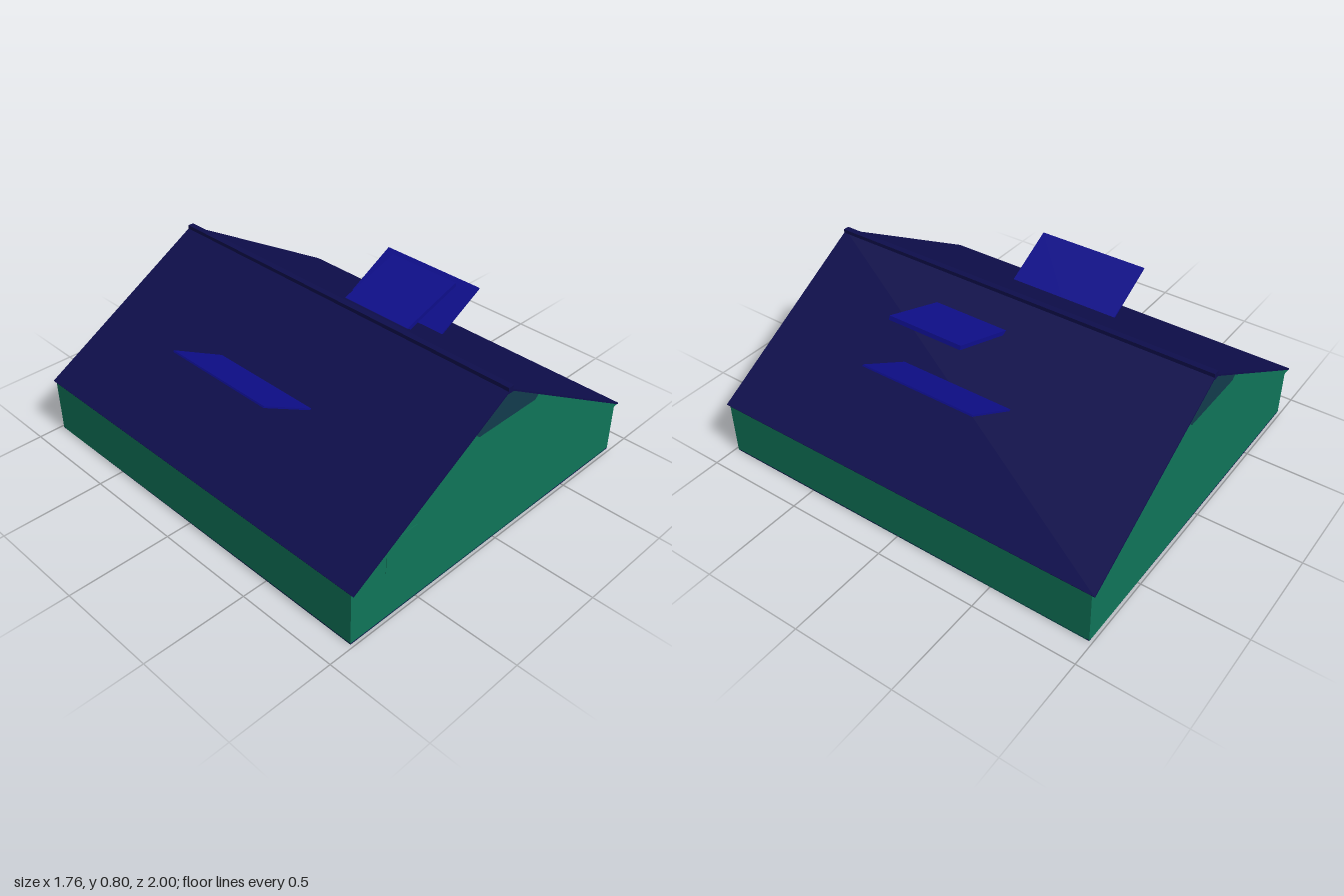
import * as THREE from 'three';

const mat = (name, color) => {
  const m = new THREE.MeshStandardMaterial({ color });
  m.name = name;
  return m;
};

export function createModel() {
  const green = mat('wall green', 0x0f7458);
  const navy = mat('roof navy', 0x0e0e4c);
  const blue = mat('panel blue', 0x0e0e8a);
  const teal = mat('dark teal', 0x123b4c);
  const model = new THREE.Group();

  const W = 0.875, EAVE = 0.265, PEAK = 0.775, END = 0.985;
  const slope = (PEAK - EAVE) / W;

  const add = (name, geometry, material, x = 0, y = 0, z = 0) => {
    const mesh = new THREE.Mesh(geometry, material);
    mesh.name = name;
    mesh.position.set(x, y, z);
    model.add(mesh);
    return mesh;
  };
  const box = (name, material, w, h, d, x, y, z) =>
    add(name, new THREE.BoxGeometry(w, h, d), material, x, y, z);
  const plate = (name, material, points, z0, z1) => {
    const shape = new THREE.Shape(points.map(([x, y]) => new THREE.Vector2(x, y)));
    return add(name, new THREE.ExtrudeGeometry(shape, { depth: z1 - z0, bevelEnabled: false }), material, 0, 0, z0);
  };
  // Flat sheet running between two points in the xy plane, spanning z0 to z1
  const sheet = (name, material, [xa, ya], [xb, yb], thick, z0, z1) => {
    const mesh = box(name, material, Math.hypot(xb - xa, yb - ya), thick, z1 - z0,
      (xa + xb) / 2, (ya + yb) / 2, (z0 + z1) / 2);
    mesh.rotation.z = Math.atan2(yb - ya, xb - xa);
    return mesh;
  };

  for (const s of [-1, 1]) {
    // Low side walls, with a thin sill at the ground
    box('sideWall', green, 0.01, EAVE, 2 * END, s * (W - 0.005), EAVE / 2, 0);
    box('sideSill', navy, 0.014, 0.006, 2 * END, s * (W - 0.007), 0.003, 0);

    // End walls, gables and the dark vents at their peaks
    box('endWall', green, 2 * W, EAVE, 0.01, 0, EAVE / 2, s * (END - 0.005));
    box('endSill', navy, 2 * W, 0.006, 0.014, 0, 0.003, s * (END - 0.007));
    const span = (inner, outer) => (s > 0 ? [inner, outer] : [-outer, -inner]);
    plate('gable', green, [[-W, EAVE], [W, EAVE], [0, PEAK]], ...span(0.977, 0.998));
    const shoulder = PEAK - 0.2 * slope;
    plate('gableVent', teal,
      [[-0.18, 0.64], [0.18, 0.64], [0.2, shoulder], [0, PEAK], [-0.2, shoulder]], ...span(0.974, 0.9995));

    // Roof slopes
    sheet('roofSlope', navy, [0, PEAK + 0.004], [s * 0.879, EAVE + 0.004], 0.008, -1, 1);

    // Pivoting skylights tilted through the slopes
    sheet('skylight', blue, [s * 0.155, 0.39], [s * 0.68, 0.68], 0.008, -0.28, 0.3);
    sheet('skylightFrame', teal, [s * 0.22, 0.42], [s * 0.62, 0.641], 0.01, -0.22, 0.24);
  }

  // Ridge cap
  box('ridgeCap', navy, 0.03, 0.03, 2, 0, 0.778, 0);

  // Raised panel beside the ridge
  sheet('raisedPanel', blue, [0.0, 0.642], [0.467, 0.795], 0.02, -0.06, 0.325);

  // Door outline on the front gable
  const dx = -0.53, dl = -0.7;
  plate('door', green, [[dl, EAVE], [dx, EAVE], [dx, 0.41], [-0.626, 0.41], [dl, EAVE + (W + dl) * slope]], 0.997, 0.9998);

  return model;
}
